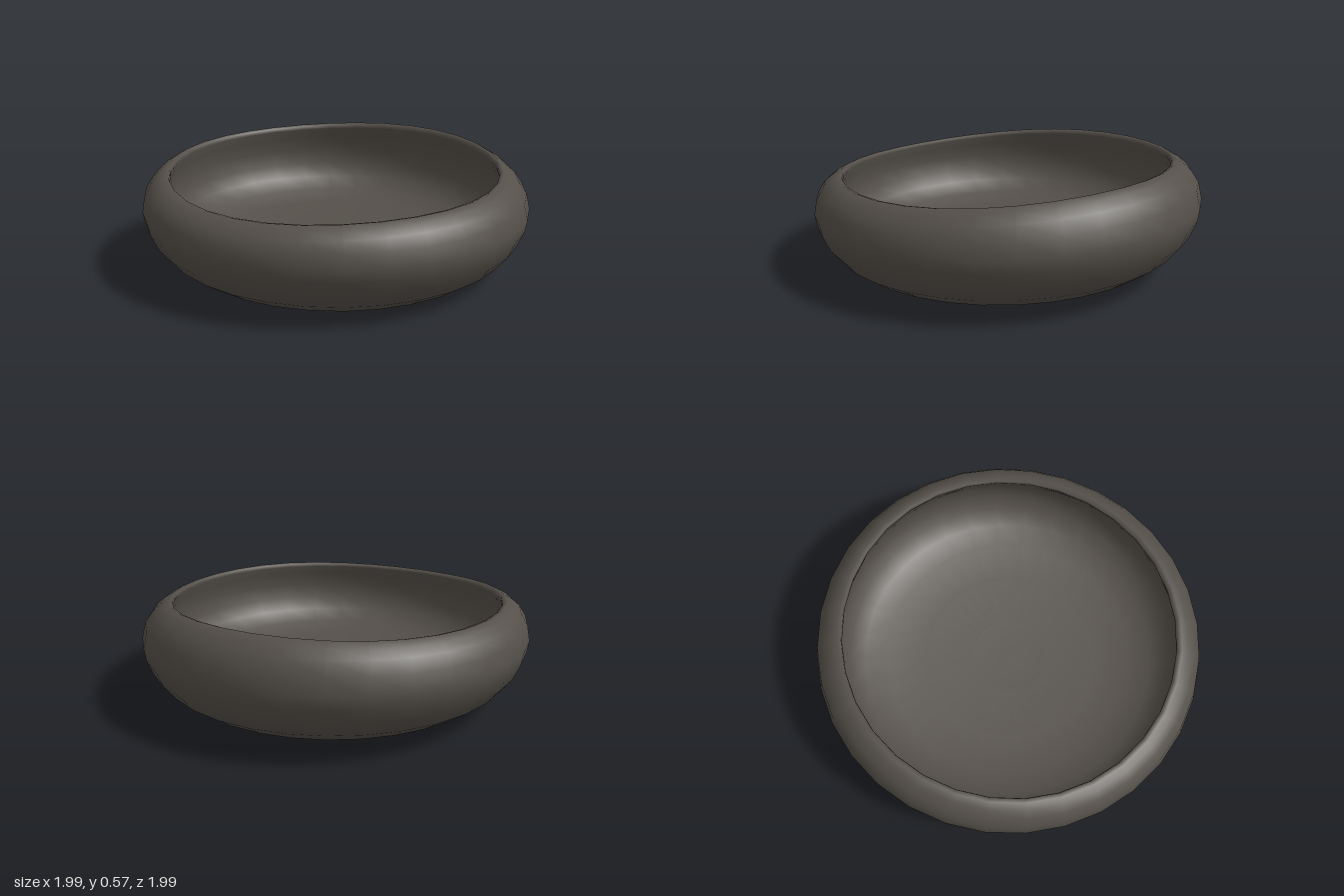
import * as THREE from 'three';
import { mergeVertices } from 'three/addons/utils/BufferGeometryUtils.js';

const RIM = 0.515;

// The bowl leans up to the left and the back, most at the rim, which also waves a little.
function lean(geometry) {
  const p = geometry.attributes.position;
  for (let i = 0; i < p.count; i++) {
    const x = p.getX(i), y = p.getY(i), z = p.getZ(i);
    const k = Math.pow(y / RIM, 3);
    p.setX(i, x - 0.02 * k);
    p.setY(i, y + x * (0.018 + 0.045 * k) - z * (0.02 + 0.012 * k) - 0.05 * k * x * z * z);
  }
}

export function createModel() {
  const group = new THREE.Group();
  group.name = 'bowl';
  const clay = new THREE.MeshStandardMaterial({ color: 0x544f49 });
  clay.name = 'dark clay';
  const pale = new THREE.MeshStandardMaterial({ color: 0xe6e6e6 });
  pale.name = 'pale base';

  // Closed profile: underside, bulging wall, rolled rim, inner wall, floor
  const profile = [
    [0, 0.026], [0.35, 0.026], [0.62, 0.026], [0.71, 0.029], [0.8, 0.055],
    [0.89, 0.115], [0.952, 0.19], [0.987, 0.27], [0.997, 0.33], [0.98, 0.41],
    [0.944, 0.463], [0.905, 0.495], [0.868, 0.514], [0.847, 0.508], [0.844, 0.49],
    [0.865, 0.44], [0.885, 0.36], [0.88, 0.28], [0.845, 0.205], [0.77, 0.145],
    [0.65, 0.105], [0.45, 0.08], [0.2, 0.067], [0, 0.064],
  ].map(([r, y]) => new THREE.Vector2(r, y));
  let shell = new THREE.LatheGeometry(profile, 32);
  shell.deleteAttribute('uv');
  shell.deleteAttribute('normal');
  shell = mergeVertices(shell, 1e-4);
  lean(shell);
  shell.computeVertexNormals();
  const shellMesh = new THREE.Mesh(shell, clay);
  shellMesh.name = 'shell';
  group.add(shellMesh);

  // Irregular bare patch under the bowl, outlined on diagonal axes
  const outline = [
    [-0.01, 0.65], [0.25, 0.49], [0.52, 0.25], [0.68, 0.11], [0.72, 0.03],
    [0.61, -0.34], [0.41, -0.61], [0.07, -0.72], [-0.18, -0.68], [-0.45, -0.59],
    [-0.57, -0.45], [-0.61, -0.15], [-0.56, 0.19], [-0.34, 0.48], [-0.18, 0.6],
  ].map(([u, w]) => new THREE.Vector2((w - u) * Math.SQRT1_2, (-w - u) * Math.SQRT1_2));
  const patch = new THREE.ExtrudeGeometry(new THREE.Shape(outline), {
    depth: 0.009, bevelEnabled: false,
  });
  patch.rotateX(Math.PI / 2);
  patch.translate(0, 0.0285, 0);
  lean(patch);
  patch.computeVertexNormals();
  const patchMesh = new THREE.Mesh(patch, pale);
  patchMesh.name = 'basePatch';
  group.add(patchMesh);

  return group;
}
